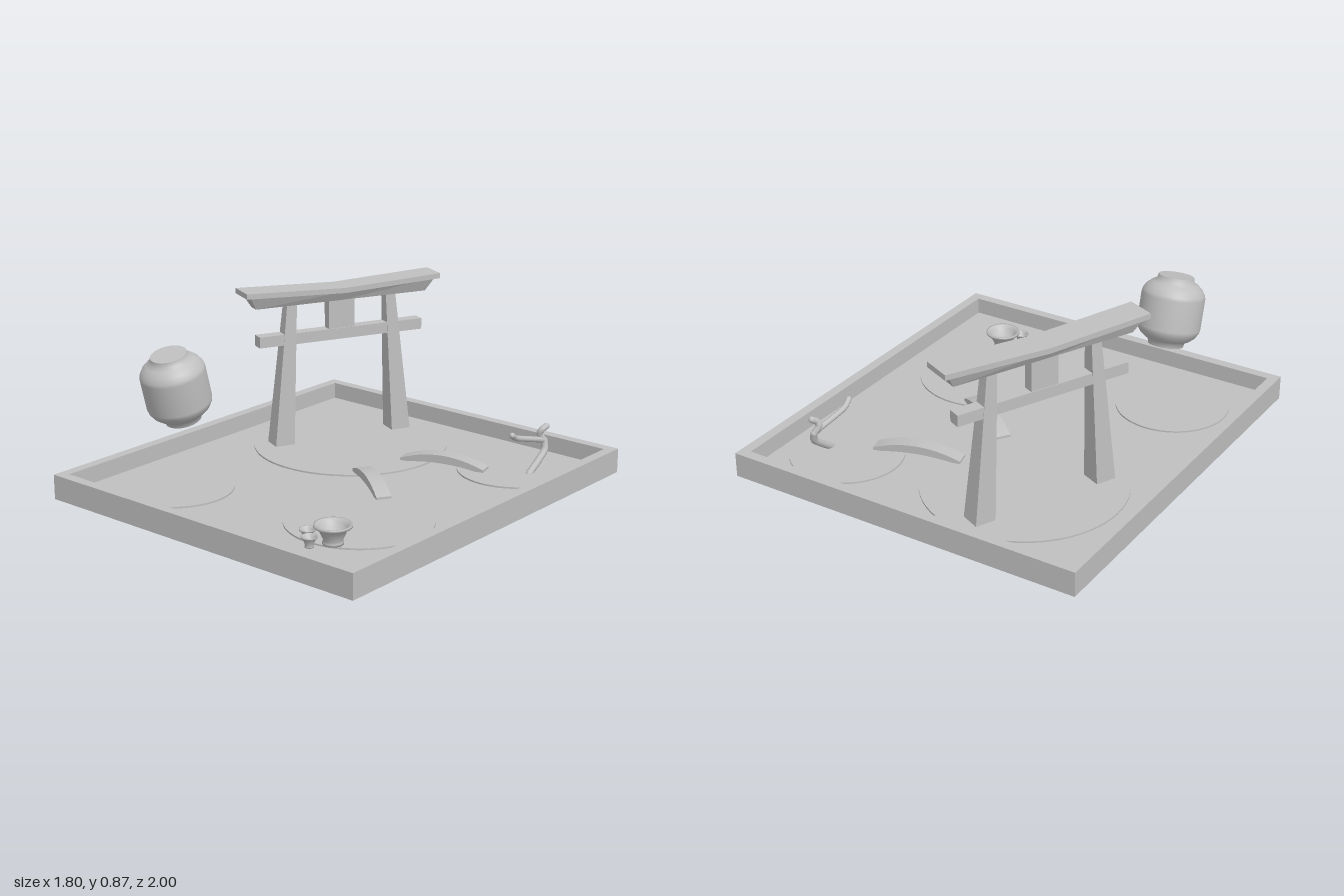
import * as THREE from 'three';

const stone = new THREE.MeshStandardMaterial({ color: 0xbfbfbf });
stone.name = 'stone grey';

function add(parent, name, geometry, x = 0, y = 0, z = 0) {
  const mesh = new THREE.Mesh(geometry, stone);
  mesh.name = name;
  mesh.position.set(x, y, z);
  parent.add(mesh);
  return mesh;
}

// Move vertices by a rule, then make every face flat
function bend(geometry, rule) {
  const g = geometry.toNonIndexed();
  const p = g.attributes.position;
  const v = new THREE.Vector3();
  for (let i = 0; i < p.count; i++) {
    v.fromBufferAttribute(p, i);
    rule(v);
    p.setXYZ(i, v.x, v.y, v.z);
  }
  g.computeVertexNormals();
  return g;
}

function rectangle(path, w, h) {
  path.moveTo(-w, -h);
  path.lineTo(w, -h);
  path.lineTo(w, h);
  path.lineTo(-w, h);
  path.closePath();
  return path;
}

const FLOOR = 0.062;
const GROUND = 0.07;

function createTray() {
  const tray = new THREE.Group();
  tray.name = 'tray';
  // Chamfered underside
  add(tray, 'trayBase', bend(new THREE.BoxGeometry(1.8, 0.025, 2), (v) => {
    if (v.y < 0) { v.x *= 0.85 / 0.9; v.z *= 0.95; }
  }), 0, 0.0125, 0);
  // Raised rim
  const outline = rectangle(new THREE.Shape(), 0.9, 1);
  outline.holes.push(rectangle(new THREE.Path(), 0.85, 0.95));
  const rim = new THREE.ExtrudeGeometry(outline, { depth: 0.12, bevelEnabled: false });
  rim.rotateX(-Math.PI / 2);
  add(tray, 'trayRim', rim, 0, 0.025, 0);
  add(tray, 'trayFloor', new THREE.BoxGeometry(1.7, FLOOR - 0.025, 1.9), 0, (FLOOR + 0.025) / 2, 0);
  // Thin round ground patches: x, z, radius
  for (const [x, z, r] of [[-0.29, -0.41, 0.48], [-0.51, 0.6, 0.277], [0.42, 0.38, 0.34], [0.55, -0.62, 0.27]]) {
    add(tray, 'groundPatch', new THREE.CylinderGeometry(r, r, 0.008, 64), x, GROUND - 0.004, z);
  }
  return tray;
}

function createGate() {
  const gate = new THREE.Group();
  gate.name = 'gate';
  gate.position.set(-0.415, 0, -0.475);
  gate.rotation.y = 1.137;
  // Leaning, tapered posts
  for (const side of [-1, 1]) {
    add(gate, 'gatePost', bend(new THREE.BoxGeometry(1, 0.73, 1), (v) => {
      const top = v.y > 0;
      const size = top ? 0.052 : 0.102;
      v.x = v.x * size + side * (top ? 0.268 : 0.322);
      v.z *= size;
    }), 0, 0.06 + 0.365, 0);
  }
  add(gate, 'tieBeam', new THREE.BoxGeometry(0.885, 0.055, 0.06), 0, 0.608, 0);
  add(gate, 'centreStrut', new THREE.BoxGeometry(0.14, 0.16, 0.05), 0, 0.71, 0);
  // Flared lintel under the roof beam
  add(gate, 'lintel', bend(new THREE.BoxGeometry(1, 0.05, 0.12, 2, 1, 1), (v) => {
    if (v.y < 0) { v.x *= 0.92; v.z *= 0.5; } else v.y += 0.04 * Math.abs(v.x);
  }), 0, 0.803, 0);
  // Roof beam rising toward both ends
  add(gate, 'roofBeam', bend(new THREE.BoxGeometry(1.047, 0.026, 0.144, 2, 1, 1), (v) => {
    v.y += 0.042 * Math.abs(v.x);
  }), 0, 0.835, 0);
  return gate;
}

function createLantern() {
  const half = [[0.153, 0.075], [0.149, 0.092], [0.135, 0.115], [0.112, 0.135], [0.09, 0.147], [0.085, 0.17]];
  const points = [
    ...half.map(([r, y]) => new THREE.Vector2(r, -y)).reverse(),
    ...half.map(([r, y]) => new THREE.Vector2(r, y)),
  ];
  const lantern = new THREE.Group();
  lantern.name = 'lantern';
  lantern.position.set(-0.475, 0.562, 0.612);
  lantern.rotation.x = 0.255;
  add(lantern, 'lanternBody', new THREE.LatheGeometry(points, 40));
  for (const s of [-1, 1]) {
    const cap = new THREE.CircleGeometry(0.085, 40);
    cap.rotateX(-s * Math.PI / 2);
    add(lantern, 'lanternCap', cap, 0, s * 0.17, 0);
  }
  return lantern;
}

// Arched footbridge with a shallower curve beneath
function createBridge(x, z, angle, length) {
  const h = length / 2;
  const shape = new THREE.Shape();
  shape.moveTo(-h, 0);
  shape.quadraticCurveTo(0, 0.045, h, 0);
  shape.lineTo(h, 0.02);
  shape.quadraticCurveTo(0, 0.105, -h, 0.02);
  shape.closePath();
  const g = new THREE.ExtrudeGeometry(shape, { depth: 0.072, bevelEnabled: false, curveSegments: 12 });
  g.translate(0, 0, -0.036);
  const group = new THREE.Group();
  group.name = 'bridge';
  group.rotation.y = angle;
  group.position.set(x, FLOOR, z);
  add(group, 'bridgeArch', g);
  return group;
}

// Flared cup with a hollow bowl; r is the lip radius
function createCup(x, z, r, height) {
  const profile = [
    [0, 0], [0.55, 0], [0.55, 0.12], [0.5, 0.2], [0.62, 0.45], [0.78, 0.8], [1, 0.88], [1, 1],
    [0.88, 1], [0.72, 0.82], [0.5, 0.5], [0, 0.42],
  ].map(([a, b]) => new THREE.Vector2(a * r, b * height));
  const group = new THREE.Group();
  group.name = 'cup';
  group.position.set(x, GROUND, z);
  add(group, 'cupBowl', new THREE.LatheGeometry(profile, 32));
  return group;
}

// Round-ended tube through points
function limb(parent, name, points, radius) {
  const pts = points.map((p) => new THREE.Vector3(...p));
  const curve = new THREE.CatmullRomCurve3(pts);
  add(parent, name, new THREE.TubeGeometry(curve, 24, radius, 10));
  for (const p of [pts[0], pts[pts.length - 1]]) {
    add(parent, name + 'End', new THREE.SphereGeometry(radius, 10, 8), p.x, p.y, p.z);
  }
}

function createBranch() {
  const branch = new THREE.Group();
  branch.name = 'branch';
  limb(branch, 'trunk', [[0.65, 0.065, -0.61], [0.655, 0.12, -0.685], [0.655, 0.16, -0.73], [0.645, 0.2, -0.74]], 0.017);
  limb(branch, 'upperTwig', [[0.645, 0.2, -0.74], [0.632, 0.235, -0.718], [0.64, 0.255, -0.72], [0.652, 0.272, -0.742]], 0.016);
  limb(branch, 'longTwig', [[0.645, 0.2, -0.74], [0.638, 0.215, -0.69], [0.622, 0.238, -0.6], [0.615, 0.256, -0.54], [0.62, 0.278, -0.504]], 0.014);
  return branch;
}

export function createModel() {
  const model = new THREE.Group();
  model.name = 'shrineGarden';
  model.add(
    createTray(),
    createGate(),
    createLantern(),
    createBridge(0.265, -0.45, 0.25, 0.43),
    createBridge(0.175, -0.007, -0.61, 0.415),
    createCup(0.515, 0.67, 0.085, 0.09),
    createCup(0.4, 0.705, 0.037, 0.05),
    createCup(0.463, 0.765, 0.037, 0.05),
    createBranch(),
  );
  return model;
}
